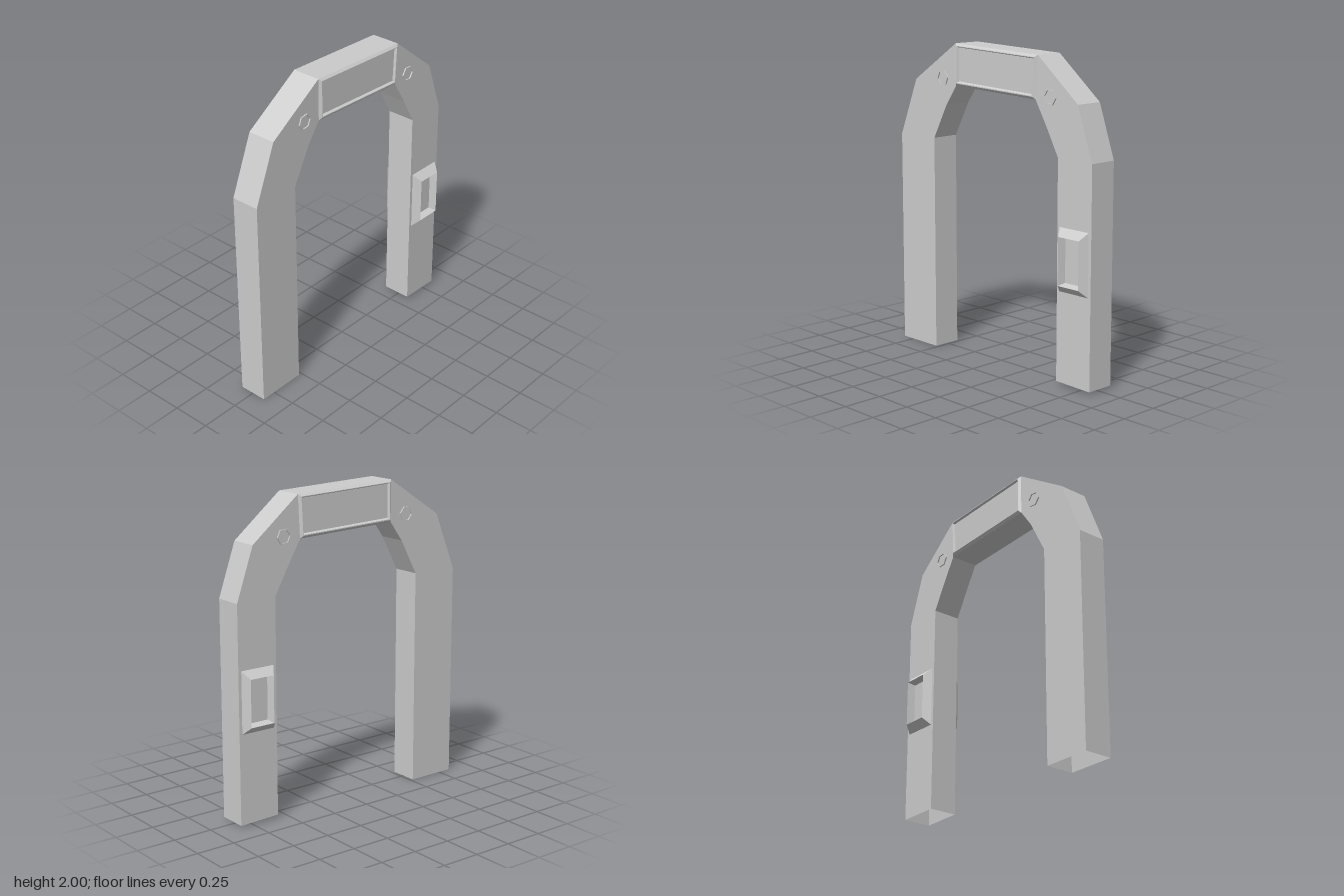
import * as THREE from 'three';

const W = 0.093; // half thickness of the arch

// Flat-shaded skin through a series of closed rings of [x, y, z] points
function loft(rings) {
  const pos = [];
  for (let i = 0; i < rings.length - 1; i++) {
    const n = rings[i].length;
    for (let j = 0; j < n; j++) {
      const k = (j + 1) % n;
      const a = rings[i][j], b = rings[i + 1][j], c = rings[i + 1][k], d = rings[i][k];
      pos.push(...a, ...d, ...c, ...a, ...c, ...b);
    }
  }
  const geo = new THREE.BufferGeometry();
  geo.setAttribute('position', new THREE.Float32BufferAttribute(pos, 3));
  geo.computeVertexNormals();
  return geo;
}

export function createModel() {
  const group = new THREE.Group();
  const material = new THREE.MeshStandardMaterial({
    color: 0xcccccc, flatShading: true, side: THREE.DoubleSide,
  });
  const add = (name, geo) => {
    const mesh = new THREE.Mesh(geo, material);
    mesh.name = name;
    group.add(mesh);
  };

  // Arch: hollow square tube, open at the feet; each row is outer z, y, inner z, y
  const sections = [
    [0.84, 0, 0.52, 0],
    [0.84, 1.38, 0.52, 1.385],
    [0.69, 1.75, 0.40, 1.61],
    [0.31, 2.0, 0.31, 1.735],
    [-0.40, 1.975, -0.385, 1.71],
    [-0.725, 1.71, -0.48, 1.55],
    [-0.84, 1.38, -0.57, 1.385],
    [-0.84, 0.015, -0.57, 0.022],
  ];
  add('arch', loft(sections.map(([oz, oy, iz, iy]) => [
    [-W, oy, oz], [W, oy, oz], [W, iy, iz], [-W, iy, iz],
  ])));

  // Raised trims on both sides: layers are [x, outline of z, y pairs]
  const addPair = (name, layers) => {
    for (const [label, s] of [['Left', 1], ['Right', -1]]) {
      add(name + label, loft(layers.map(([x, outline]) => {
        const ring = outline.map(([z, y]) => [s * x, y, z]);
        return s > 0 ? ring : ring.reverse();
      })));
    }
  };

  // Bevelled frame around the sloping top beam
  const beam = (front, back, low, high) => [
    [0.31 - front, 1.735 + low], [-0.387 + back, 1.71 + low],
    [-0.40 + back, 1.975 - high], [0.31 - front, 2.0 - high],
  ];
  addPair('beamFrame', [
    [W, beam(0, 0, 0, 0)],
    [0.108, beam(0.015, 0.015, 0.016, 0.014)],
    [0.108, beam(0.02, 0.02, 0.022, 0.018)],
    [W + 0.001, beam(0.028, 0.028, 0.03, 0.024)],
  ]);

  // Deep bevelled housing on the rear leg with a sunken middle
  const rect = (d, e) => [
    [-0.59 - d, 0.585 + e], [-0.82 + d, 0.585 + e],
    [-0.82 + d, 0.975 - e], [-0.59 - d, 0.975 - e],
  ];
  addPair('legHousing', [
    [W, rect(0, 0)],
    [0.1425, rect(0.033, 0.047)],
    [W + 0.001, rect(0.047, 0.06)],
  ]);

  // Hexagonal bolt rings on the shoulders
  const hex = (z, y, r, turn) => Array.from({ length: 6 }, (_, i) => {
    const a = i * Math.PI / 3 + turn;
    return [z - r * Math.cos(a), y + r * Math.sin(a)];
  });
  const bolts = [['frontBolt', 0.432, 1.775, 0.15], ['rearBolt', -0.505, 1.735, -0.06]];
  for (const [name, z, y, turn] of bolts) {
    addPair(name, [
      [W, hex(z, y, 0.05, turn)],
      [0.101, hex(z, y, 0.05, turn)],
      [0.101, hex(z, y, 0.043, turn)],
      [W, hex(z, y, 0.043, turn)],
    ]);
  }
  return group;
}
